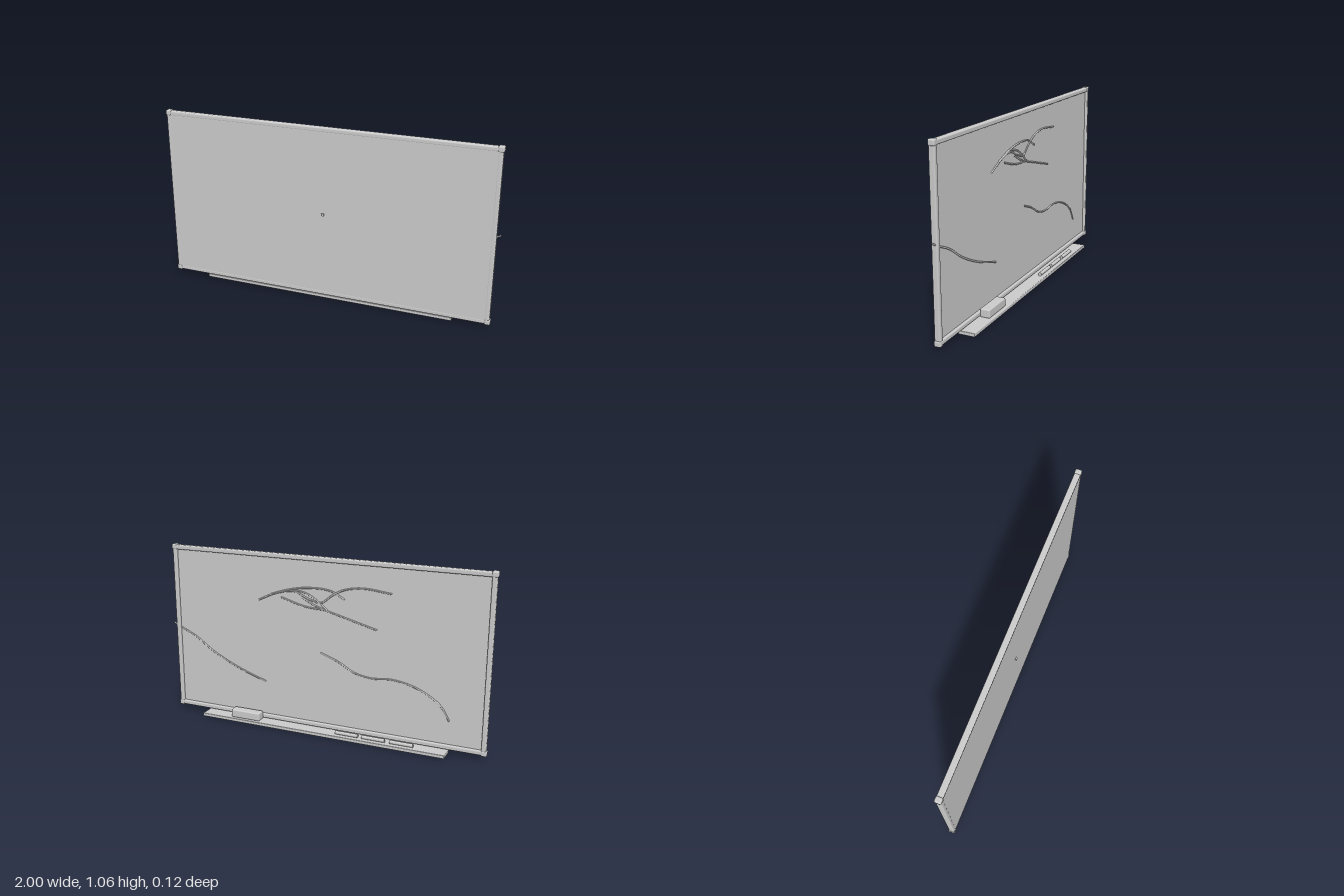
import * as THREE from 'three';
import { RoundedBoxGeometry } from 'three/addons/geometries/RoundedBoxGeometry.js';

export function createModel() {
  const grey = new THREE.MeshStandardMaterial({ color: 0xcccccc });
  grey.name = 'light grey';
  const model = new THREE.Group();
  model.name = 'whiteboard';

  const add = (name, geometry, x = 0, y = 0, z = 0) => {
    const mesh = new THREE.Mesh(geometry, grey);
    mesh.name = name;
    mesh.position.set(x, y, z);
    model.add(mesh);
    return mesh;
  };
  // Rounded box given by its lower and upper corner
  const block = (name, a, b, r) => add(name,
    new RoundedBoxGeometry(b[0] - a[0], b[1] - a[1], b[2] - a[2], 3, r),
    (a[0] + b[0]) / 2, (a[1] + b[1]) / 2, (a[2] + b[2]) / 2);

  // Board outline; the writing side faces -z
  const x0 = -0.995, x1 = 0.98, y0 = 0.025, y1 = 1.054;
  const cx = (x0 + x1) / 2, cy = (y0 + y1) / 2;
  const bar = 0.028, zb = 0.015, zf = 0.05;

  // Panel, recessed on the writing side and flush on the other
  add('panel', new THREE.BoxGeometry(x1 - x0 - 0.03, y1 - y0 - 0.03, 0.019), cx, cy, 0.0395);

  // Frame bars
  block('bottomFrame', [x0, y0, zb], [x1, y0 + bar, zf], 0.008);
  block('topFrame', [x0, y1 - bar, zb], [x1, y1, zf], 0.008);
  block('rightFrame', [x0, y0, zb], [x0 + bar, y1, zf], 0.008);
  block('leftFrame', [x1 - bar, y0, zb], [x1, y1, zf], 0.008);

  // Corner caps
  for (const x of [x0 + 0.0125, x1 - 0.0125]) {
    for (const y of [y0 + 0.0125, y1 - 0.0125]) {
      add('cornerCap', new RoundedBoxGeometry(0.034, 0.034, 0.039, 4, 0.009), x, y, 0.0325);
    }
  }

  // Tray with eraser and pens
  block('tray', [-0.782, 0, -0.058], [0.766, 0.021, 0.04], 0.004);
  block('eraser', [0.38, 0.021, -0.043], [0.572, 0.071, 0.016], 0.008);
  for (const x of [-0.522, -0.353, -0.188]) {
    const pen = add('pen', new THREE.CylinderGeometry(0.011, 0.011, 0.14, 16), x, 0.032, -0.025);
    pen.rotation.z = Math.PI / 2;
  }

  // Small knob on the plain side
  add('knob', new THREE.BoxGeometry(0.014, 0.014, 0.012), cx, 0.54, 0.052);

  // Pen strokes on the writing side
  const strokes = [
    [[1, 0.56], [0.95, 0.535], [0.845, 0.487], [0.73, 0.41], [0.62, 0.354], [0.507, 0.308], [0.36, 0.26]],
    [[0, 0.488], [-0.113, 0.447], [-0.209, 0.396], [-0.31, 0.377], [-0.44, 0.386], [-0.564, 0.364],
      [-0.665, 0.319], [-0.733, 0.266], [-0.778, 0.192]],
    [[0.253, 0.796], [0.101, 0.756], [-0.04, 0.747]],
    [[0.4, 0.767], [0.281, 0.819], [0.169, 0.839], [0.084, 0.806], [0, 0.787], [-0.068, 0.836],
      [-0.141, 0.875], [-0.254, 0.895], [-0.428, 0.88]],
    [[0.315, 0.81], [0.197, 0.847], [0.084, 0.867], [-0.057, 0.863], [-0.147, 0.821]],
    [[0.169, 0.85], [0.084, 0.831], [0.028, 0.8], [-0.04, 0.747]],
    [[0.12, 0.81], [0.03, 0.765], [-0.169, 0.71], [-0.344, 0.665]],
  ];
  for (const points of strokes) {
    const path = new THREE.CatmullRomCurve3(points.map(([x, y]) => new THREE.Vector3(x, y, 0.028)));
    add('penStroke', new THREE.TubeGeometry(path, 48, 0.005, 8));
  }
  // Closed end of the stroke that passes the frame
  add('strokeEnd', new THREE.SphereGeometry(0.005, 8, 6), 0.998, 0.56, 0.028);

  return model;
}
